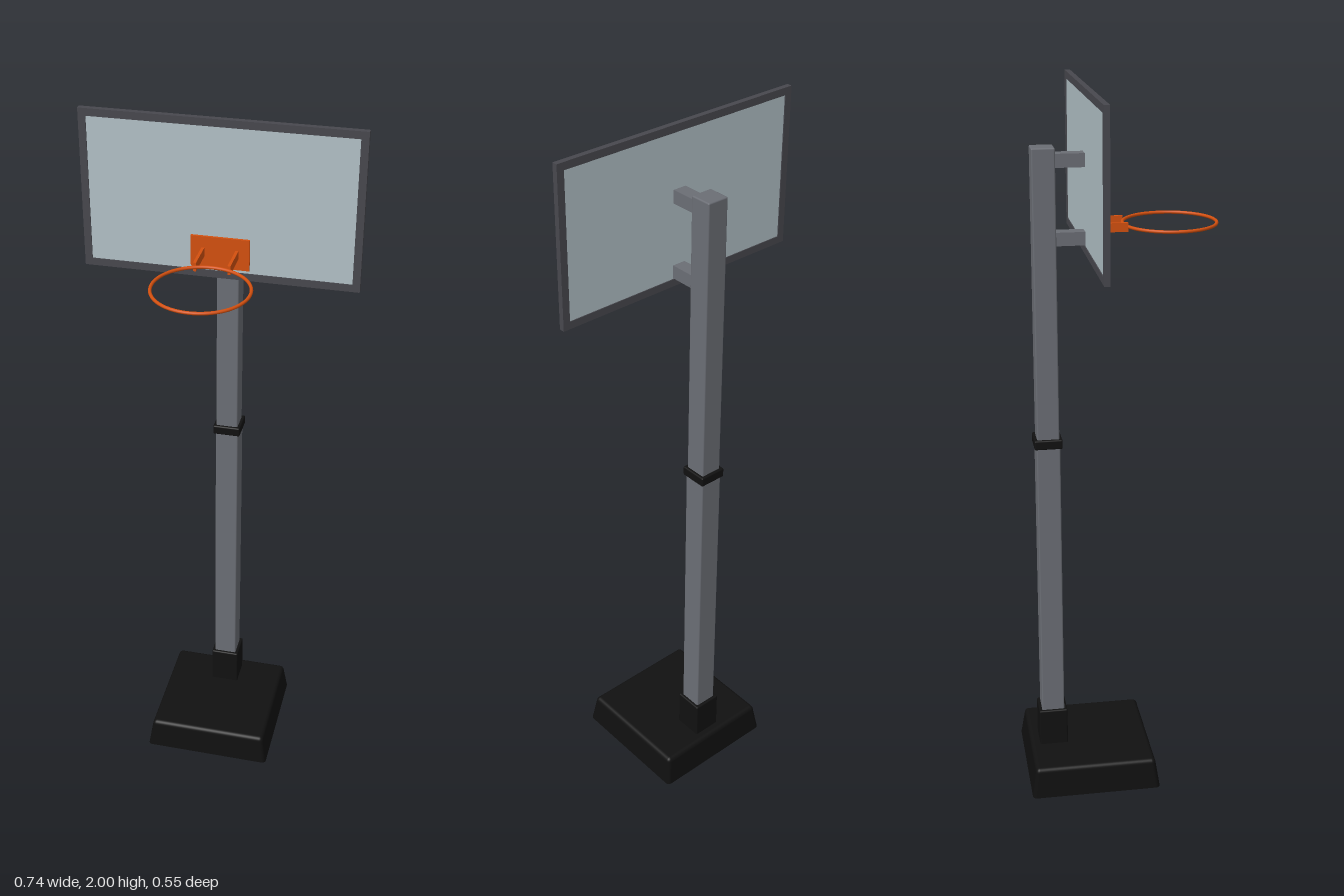
import * as THREE from 'three';
import { RoundedBoxGeometry } from 'three/addons/geometries/RoundedBoxGeometry.js';

const material = (name, color) => {
  const m = new THREE.MeshStandardMaterial({ color });
  m.name = name;
  return m;
};

export function createModel() {
  const model = new THREE.Group();
  model.name = 'basketballHoop';

  const black = material('black plastic', 0x111111);
  const steel = material('grey steel', 0x6b6e75);
  const frameGrey = material('dark frame grey', 0x48484e);
  const glass = material('pale glass', 0xb2c1c7);
  const orange = material('rim orange', 0xd4500f);

  const add = (name, geometry, mat, x = 0, y = 0, z = 0, parent = model) => {
    const mesh = new THREE.Mesh(geometry, mat);
    mesh.name = name;
    mesh.position.set(x, y, z);
    parent.add(mesh);
    return mesh;
  };
  const box = (name, w, h, d, mat, x, y, z, parent) =>
    add(name, new THREE.BoxGeometry(w, h, d), mat, x, y, z, parent);
  // Upright part spanning y0..y1 with slightly eased edges
  const post = (name, w, y0, y1, mat, r = 0.004) =>
    add(name, new RoundedBoxGeometry(w, y1 - y0, w, 2, r), mat, 0, (y0 + y1) / 2, POLE_Z);

  const POLE_Z = -0.195;
  const BOARD_Z = -0.081;
  const RIM_Y = 1.643;

  // Base: eased box, flattened underneath and tapered towards the top
  const H = 0.088;
  const baseGeo = new RoundedBoxGeometry(0.376, H + 0.012, 0.376, 3, 0.012);
  baseGeo.translate(0, (H - 0.012) / 2, 0);
  const p = baseGeo.attributes.position;
  for (let i = 0; i < p.count; i++) {
    const y = Math.max(0, p.getY(i));
    const s = 1 - 0.07 * (y / H);
    p.setXYZ(i, p.getX(i) * s, y, p.getZ(i) * s);
  }
  add('base', baseGeo, black, 0, 0, -0.087);

  // Pole
  post('poleSleeve', 0.083, 0.08, 0.2, black);
  post('lowerPole', 0.066, 0.1, 1.04, steel);
  post('upperPole', 0.062, 1.03, 1.85, steel);
  post('poleCollar', 0.078, 1.028, 1.055, black);

  // Brackets between pole and board
  for (const y of [1.815, 1.61]) {
    box('boardBracket', 0.038, 0.036, 0.09, steel, 0, y, -0.13);
  }

  // Backboard: glass panel inside an open frame
  const board = new THREE.Group();
  board.name = 'backboard';
  board.position.set(0, 1.785, BOARD_Z);
  model.add(board);
  const W = 0.736, BH = 0.43, B = 0.02, T = 0.015;
  const rect = (path, w, h) => path
    .moveTo(-w / 2, -h / 2).lineTo(w / 2, -h / 2)
    .lineTo(w / 2, h / 2).lineTo(-w / 2, h / 2).closePath();
  const outline = new THREE.Shape();
  rect(outline, W, BH);
  const opening = new THREE.Path();
  rect(opening, W - 2 * B, BH - 2 * B);
  outline.holes.push(opening);
  const frameGeo = new THREE.ExtrudeGeometry(outline, { depth: T, bevelEnabled: false });
  add('boardFrame', frameGeo, frameGrey, 0, 0, -T / 2, board);
  box('boardPanel', W - 2 * B, BH - 2 * B, 0.01, glass, 0, 0, 0, board);

  // Rim with its mounting plate and two arms
  box('rimPlate', 0.156, 0.086, 0.009, orange, 0, RIM_Y, -0.0735);
  for (const side of [-1, 1]) {
    box('rimArm', 0.008, 0.024, 0.094, orange, side * 0.045, RIM_Y, -0.024);
  }
  const rim = add('rim', new THREE.TorusGeometry(0.1255, 0.0045, 10, 64), orange, 0, RIM_Y, 0.142);
  rim.rotation.x = Math.PI / 2;

  return model;
}
